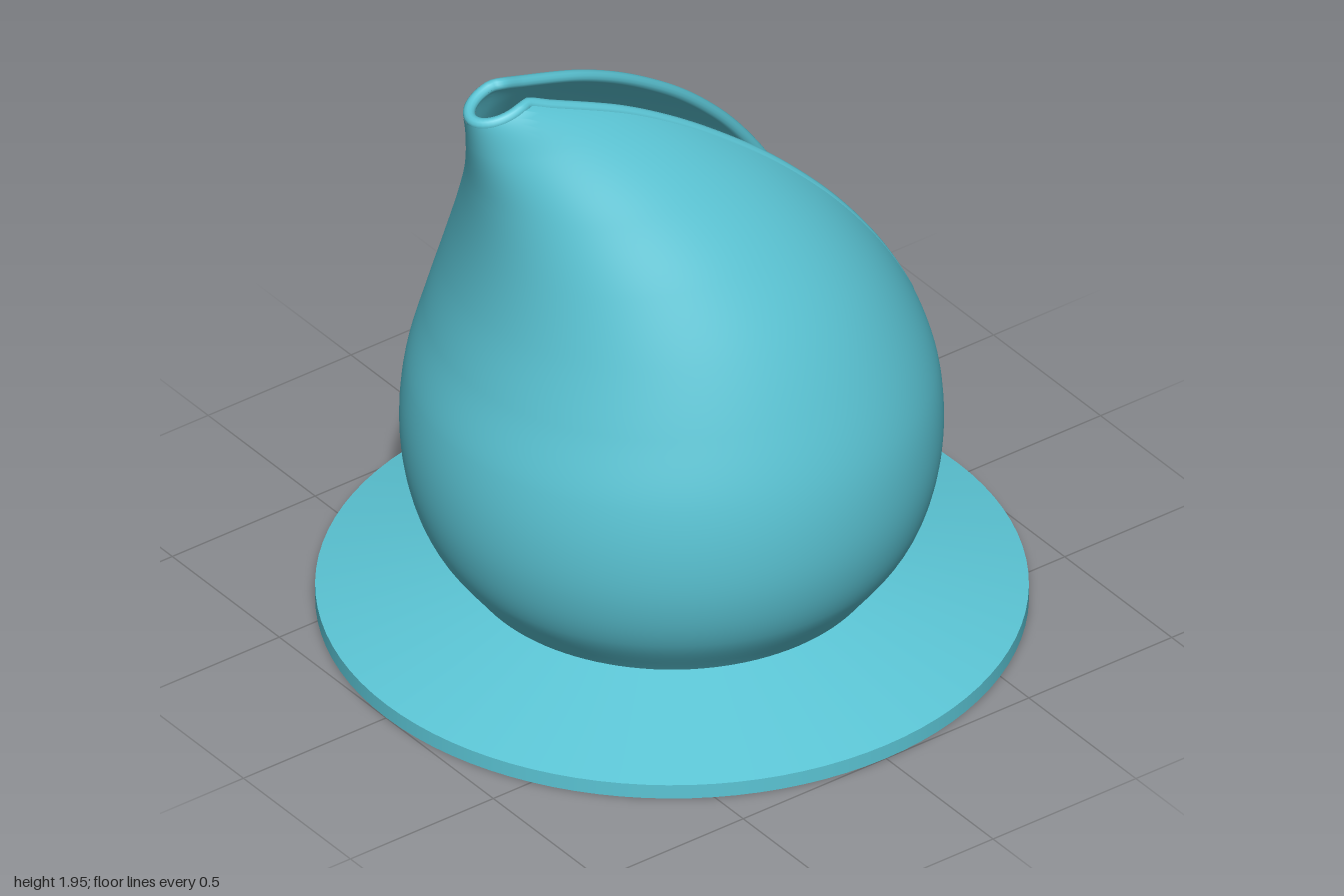
import * as THREE from 'three';
import { ParametricGeometry } from 'three/addons/geometries/ParametricGeometry.js';

// Shell profile: height, left x, right x, half depth
const PROFILE = [
  [0.15, -0.585, 0.585, 0.585],
  [0.3, -0.692, 0.692, 0.692],
  [0.45, -0.746, 0.744, 0.746],
  [0.62, -0.765, 0.762, 0.763],
  [0.8, -0.75, 0.742, 0.745],
  [1.0, -0.7, 0.666, 0.685],
  [1.2, -0.66, 0.55, 0.598],
  [1.4, -0.645, 0.39, 0.48],
  [1.6, -0.655, 0.17, 0.338],
  [1.8, -0.69, -0.14, 0.185],
  [1.94, -0.715, -0.5, 0.085],
];
const WALL = 0.035;
const FLOOR = 0.24;
const SLOT_LOW = 0.78;
const SLOT_WIDE = 1.02;
const TOP = 1.935;

// Smooth cubic interpolation of one profile column by height
function profile(y, col) {
  const n = PROFILE.length - 1;
  let i = 0;
  while (i < n - 1 && y > PROFILE[i + 1][0]) i++;
  const slope = (k) => {
    const a = PROFILE[Math.max(k - 1, 0)], b = PROFILE[Math.min(k + 1, n)];
    return (b[col] - a[col]) / (b[0] - a[0]);
  };
  const p = PROFILE[i], q = PROFILE[i + 1], h = q[0] - p[0], t = (y - p[0]) / h;
  const t2 = t * t, t3 = t2 * t;
  return (2 * t3 - 3 * t2 + 1) * p[col] + (t3 - 2 * t2 + t) * h * slope(i)
    + (3 * t2 - 2 * t3) * q[col] + (t3 - t2) * h * slope(i + 1);
}

// Height along the shell: closed bowl, rounded slot end, then the long slot
function heightAt(v, bottom) {
  if (v <= 0.25) return bottom + (SLOT_LOW - bottom) * v * 4;
  if (v <= 0.5) return SLOT_LOW + (SLOT_WIDE - SLOT_LOW) * (1 - Math.cos((v - 0.25) * 2 * Math.PI));
  return SLOT_WIDE + (TOP - SLOT_WIDE) * (v - 0.5) * 2;
}

// Half width of the slot at a height
function slotHalfWidth(y) {
  if (y <= SLOT_LOW) return 0;
  if (y < SLOT_WIDE) return 0.272 * Math.sqrt(1 - ((SLOT_WIDE - y) / (SLOT_WIDE - SLOT_LOW)) ** 2);
  const s = (y - SLOT_WIDE) / (TOP - SLOT_WIDE);
  return 0.272 - 0.03 * s - 0.165 * s * s;
}

// Point on the shell, u running around from one slot edge to the other
function shellPoint(u, v, bottom, inset, target) {
  const y = heightAt(v, bottom);
  const l = profile(y, 1), r = profile(y, 2), w = profile(y, 3);
  const start = Math.asin(Math.min(slotHalfWidth(y) / w, 0.96));
  const phi = start + (2 * Math.PI - 2 * start) * u;
  const d = inset(y);
  const x = (l + r) / 2 + ((r - l) / 2 - d) * Math.cos(phi);
  const lift = Math.max(0, (y - 1.6) / 0.34) ** 3;
  return target.set(x, y + 0.3 * lift * Math.min(0, x + 0.58), (w - d) * Math.sin(phi));
}

export function createModel() {
  const group = new THREE.Group();
  const teal = new THREE.MeshStandardMaterial({ color: 0x5bc5d5 });
  teal.name = 'teal';

  function add(name, geometry, parent = group) {
    const mesh = new THREE.Mesh(geometry, teal);
    mesh.name = name;
    parent.add(mesh);
    return mesh;
  }
  // Lathe with hard edges: one band per profile segment
  function addTurned(name, points, parent) {
    const part = new THREE.Group();
    part.name = name;
    for (let i = 0; i < points.length - 1; i++) {
      const band = [points[i], points[i + 1]].map(([r, y]) => new THREE.Vector2(r, y));
      add(name + 'Band', new THREE.LatheGeometry(band, 96), part);
    }
    parent.add(part);
    return part;
  }

  // Sloping round base
  addTurned('base', [[0, 0], [1, 0], [1, 0.045], [0.59, 0.157], [0, 0.157]], group);

  // Outer and inner walls of the drop-shaped shell
  add('outerShell', new ParametricGeometry(
    (u, v, p) => shellPoint(1 - u, v, 0.15, () => 0, p), 112, 96));
  const innerInset = (y) => WALL + (y < 0.55 ? 0.2 * ((0.55 - y) / 0.31) ** 3 : 0);
  add('innerShell', new ParametricGeometry(
    (u, v, p) => shellPoint(u, v, FLOOR, innerInset, p), 112, 96));

  // Rounded lip following the slot and the open tip
  const lipPoints = [];
  const lipAt = (u, v) => lipPoints.push(shellPoint(u, v, 0.15, () => WALL / 2, new THREE.Vector3()));
  const steps = 48;
  for (let i = 0; i < steps; i++) lipAt(0, 0.25 + 0.75 * i / steps);
  for (let i = 0; i < 24; i++) lipAt(i / 24, 1);
  for (let i = steps; i > 0; i--) lipAt(1, 0.25 + 0.75 * i / steps);
  const lipCurve = new THREE.CatmullRomCurve3(lipPoints, true);
  lipCurve.arcLengthDivisions = 800;
  add('lip', new THREE.TubeGeometry(lipCurve, 320, WALL / 2, 12, true));

  // Inside floor
  const floor = add('floor', new THREE.CircleGeometry(0.43, 64));
  floor.rotation.x = -Math.PI / 2;
  floor.position.y = FLOOR + 0.001;

  // Two stepped sockets with a small key at the back
  const keyShape = new THREE.Shape([
    new THREE.Vector2(-0.025, 0.075), new THREE.Vector2(0.025, 0.075),
    new THREE.Vector2(0.037, 0.142), new THREE.Vector2(-0.037, 0.142),
  ]);
  for (const x of [-0.22, 0.22]) {
    const socket = addTurned('socket', [
      [0.18, 0], [0.18, 0.05], [0.145, 0.1], [0.135, 0.13], [0.11, 0.15],
      [0.11, 0.19], [0.085, 0.2], [0.085, 0.18], [0, 0.18],
    ], group);
    socket.position.set(x, FLOOR, 0);
    const key = add('socketKey', new THREE.ExtrudeGeometry(keyShape, { depth: 0.2, bevelEnabled: false }), socket);
    key.rotation.x = -Math.PI / 2;
  }
  return group;
}
